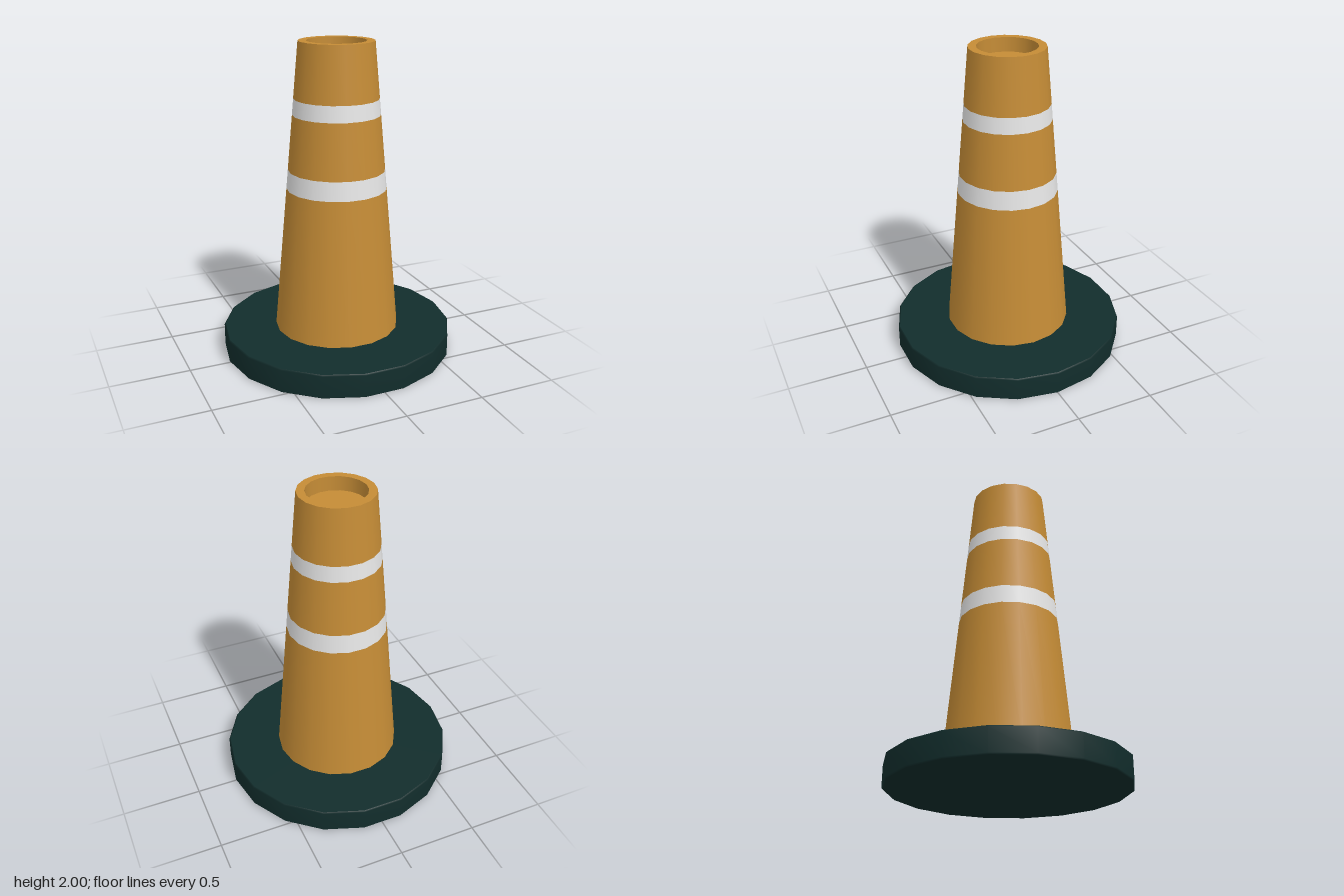
import * as THREE from 'three';

const SIDES = 18;
const BASE_TOP = 0.155, TOP = 2, FLOOR = 1.91;
const R_BOTTOM = 0.4, R_TOP = 0.235, R_HOLE = 0.185, R_BASE = 0.742;

const material = (name, color) => {
  const m = new THREE.MeshStandardMaterial({ color });
  m.name = name;
  return m;
};

// Outer radius of the cone at a given height
const coneRadius = (y) =>
  THREE.MathUtils.mapLinear(y, BASE_TOP, TOP, R_BOTTOM, R_TOP);

export function createModel() {
  const orange = material('orange plastic', 0xc58c36);
  const white = material('white reflective', 0xf4f4f4);
  const dark = material('dark green rubber', 0x122d2c);
  const model = new THREE.Group();
  model.name = 'trafficCone';

  // Adds one smooth surface of revolution; a corner lies on the x axis
  const add = (name, mat, parent, ...profile) => {
    const points = profile.map(([r, y]) => new THREE.Vector2(r, y));
    const geometry = new THREE.LatheGeometry(points, SIDES, Math.PI / SIDES);
    const mesh = new THREE.Mesh(geometry, mat);
    mesh.name = name;
    parent.add(mesh);
  };

  // Base disc with narrow bevels, each surface separate for sharp edges
  const base = new THREE.Group();
  base.name = 'base';
  model.add(base);
  const b = 0.008, inner = R_BASE - b;
  add('baseUnderside', dark, base, [0, 0], [inner, 0]);
  add('baseRim', dark, base, [inner, 0], [R_BASE, b], [R_BASE, BASE_TOP - b], [inner, BASE_TOP]);
  add('baseTop', dark, base, [inner, BASE_TOP], [0, BASE_TOP]);

  // Tapered body, alternating orange sections and white bands
  const body = new THREE.Group();
  body.name = 'coneBody';
  model.add(body);
  const heights = [BASE_TOP, 1.08, 1.2, 1.55, 1.65, TOP];
  for (let i = 0; i < heights.length - 1; i++) {
    const [y0, y1] = [heights[i], heights[i + 1]];
    const band = i % 2 === 1;
    add(band ? 'reflectiveBand' : 'coneSection', band ? white : orange, body,
      [coneRadius(y0), y0], [coneRadius(y1), y1]);
  }

  // Top lip and shallow recess
  add('topLip', orange, body, [R_TOP, TOP], [R_HOLE, TOP]);
  add('recessWall', orange, body, [R_HOLE, TOP], [R_HOLE, FLOOR]);
  add('recessFloor', orange, body, [R_HOLE, FLOOR], [0, FLOOR]);

  return model;
}
